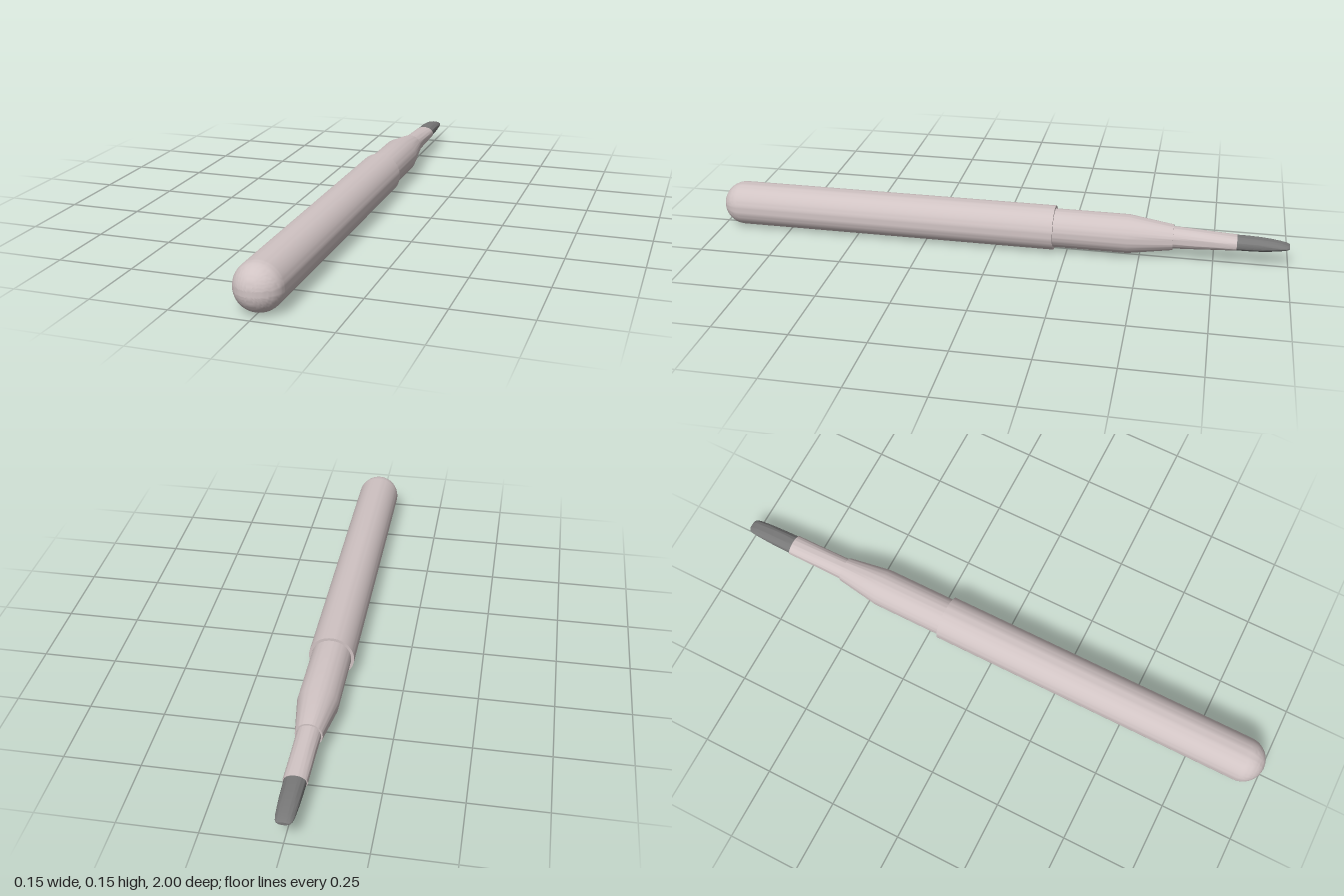
import * as THREE from 'three';
import { toCreasedNormals } from 'three/addons/utils/BufferGeometryUtils.js';

const SIDES = 64;

// Skin elliptical cross-sections [z, half width, half height], listed from back to front
function loft(sections) {
  const first = sections[0], last = sections[sections.length - 1];
  const rings = [[first[0], 0.0004], ...sections, [last[0], 0.0004]];
  const positions = [], index = [];
  rings.forEach(([z, rx, ry = rx], j) => {
    for (let i = 0; i < SIDES; i++) {
      const a = (i / SIDES) * Math.PI * 2;
      positions.push(Math.cos(a) * rx, Math.sin(a) * ry, z);
      if (j === 0) continue;
      const n = (i + 1) % SIDES, p = (j - 1) * SIDES, q = j * SIDES;
      index.push(p + i, p + n, q + n, p + i, q + n, q + i);
    }
  });
  const geometry = new THREE.BufferGeometry();
  geometry.setAttribute('position', new THREE.Float32BufferAttribute(positions, 3));
  geometry.setIndex(index);
  return toCreasedNormals(geometry, 0.6);
}

export function createModel() {
  const model = new THREE.Group();
  model.name = 'paintBrush';
  const handleColor = new THREE.MeshStandardMaterial({ color: 0xd0c3c3 });
  handleColor.name = 'palePinkGrey';
  const bristleColor = new THREE.MeshStandardMaterial({ color: 0x787878 });
  bristleColor.name = 'darkGrey';

  const add = (name, sections, material) => {
    const mesh = new THREE.Mesh(loft(sections), material);
    mesh.name = name;
    mesh.position.y = 0.077;
    model.add(mesh);
  };

  // Long barrel with a domed end
  const R = 0.077;
  const barrel = [[-0.205, R]];
  for (let i = 0; i < 16; i++) {
    const a = (i / 16) * Math.PI / 2;
    barrel.push([1 - R + Math.sin(a) * R, Math.cos(a) * R]);
  }
  barrel.push([1, 0.001]);
  add('barrel', barrel, handleColor);

  // Narrower grip that tapers towards the tip
  add('grip', [[-0.612, 0.044], [-0.46, 0.067], [-0.2, 0.067]], handleColor);

  // Ferrule flattening from round to oval
  add('ferrule', [
    [-0.825, 0.038, 0.025], [-0.76, 0.038, 0.029], [-0.69, 0.038, 0.034], [-0.6, 0.039, 0.039],
  ], handleColor);

  // Flat bristle head with a rounded, thin tip
  add('bristles', [
    [-1, 0.016, 0.005], [-0.996, 0.022, 0.007], [-0.988, 0.026, 0.01], [-0.97, 0.029, 0.014],
    [-0.94, 0.031, 0.019], [-0.9, 0.033, 0.023], [-0.86, 0.034, 0.0245], [-0.82, 0.035, 0.0245],
  ], bristleColor);

  return model;
}
